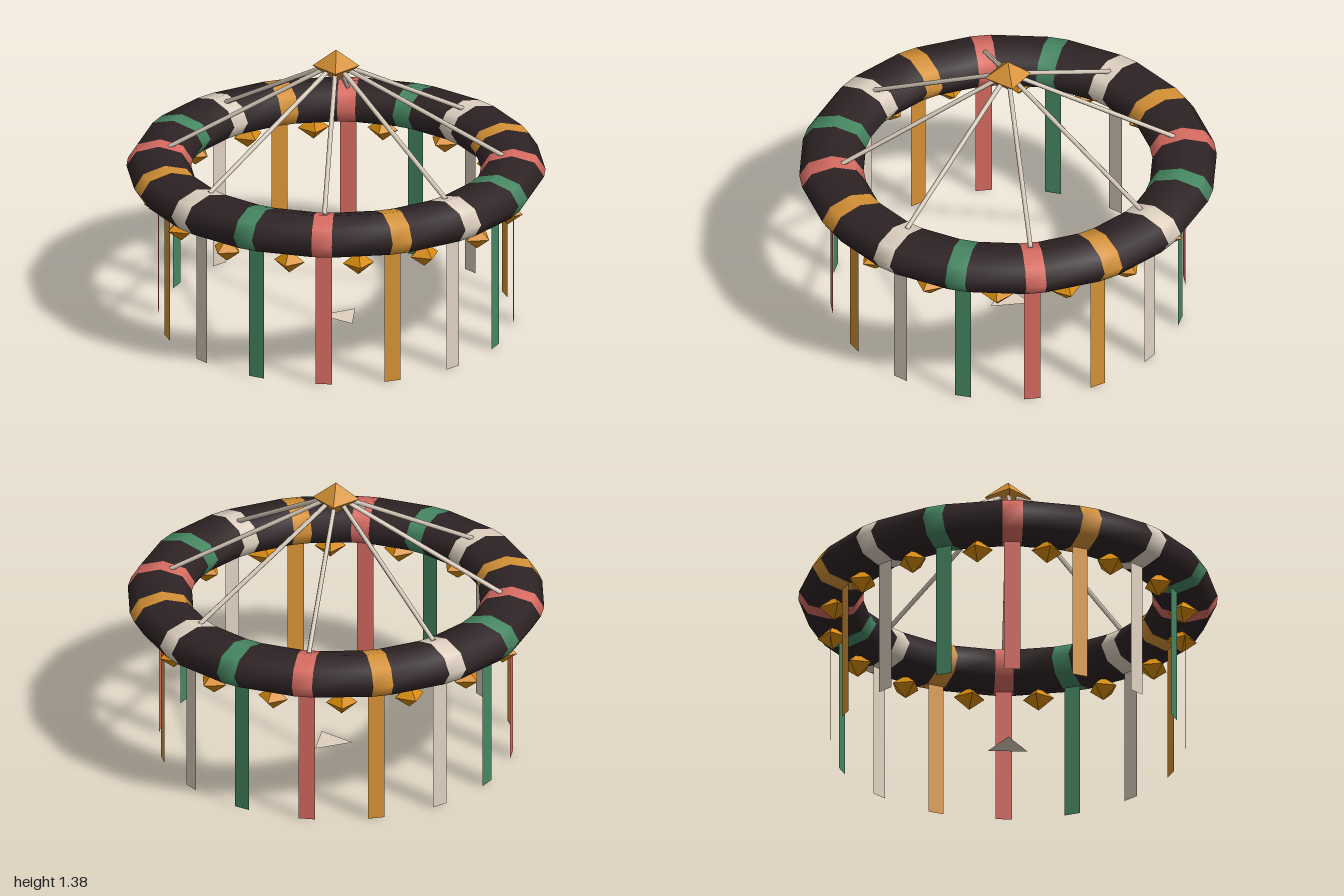
import * as THREE from 'three';

const COUNT = 16;      // ribbons around the ring
const SIDES = 8;       // sides of the ring's oval section
const RADIUS = 0.85;   // radius on which ribbons and lanterns hang

export function createModel() {
  const group = new THREE.Group();
  const mat = (name, color, extra = {}) => {
    const m = new THREE.MeshStandardMaterial({ color, ...extra });
    m.name = name;
    return m;
  };
  const two = { side: THREE.DoubleSide };
  const dark = mat('dark brown', 0x2e2325);
  const cream = mat('cream', 0xdfd1c1, two);
  const bands = [
    mat('coral', 0xd86c62, two),
    mat('ochre', 0xd69236, two),
    cream,
    mat('green', 0x468763, two),
  ];
  const ochreFlat = mat('ochre', 0xd69236, { flatShading: true });
  const amber = mat('amber', 0xd68a0c, { flatShading: true });

  const add = (name, geometry, material) => {
    const mesh = new THREE.Mesh(geometry, material);
    mesh.name = name;
    group.add(mesh);
    return mesh;
  };

  // Ring: two oval sections per ribbon, so narrow coloured bands alternate with dark stretches
  const pos = [], index = [];
  const ringGeo = new THREE.BufferGeometry();
  const sections = COUNT * 2;
  for (let s = 0; s < sections; s++) {
    const a = Math.floor(s / 2) * Math.PI * 2 / COUNT;
    const side = s % 2 ? 1 : -1;
    for (let k = 0; k < SIDES; k++) {
      const p = k * Math.PI * 2 / SIDES;
      const r = 0.845 + 0.155 * Math.cos(p);
      const w = side * (0.046 + 0.003 * Math.cos(p));
      pos.push(
        r * Math.sin(a) + w * Math.cos(a),
        0.77 + 0.1 * Math.sin(p),
        r * Math.cos(a) - w * Math.sin(a));
    }
    const start = index.length, n = (s + 1) % sections;
    for (let k = 0; k < SIDES; k++) {
      const k2 = (k + 1) % SIDES;
      const A = s * SIDES + k, B = n * SIDES + k;
      const C = n * SIDES + k2, D = s * SIDES + k2;
      index.push(A, B, C, A, C, D);
    }
    ringGeo.addGroup(start, index.length - start, s % 2 ? 0 : 1 + (s / 2) % 4);
  }
  ringGeo.setAttribute('position', new THREE.Float32BufferAttribute(pos, 3));
  ringGeo.setIndex(index);
  ringGeo.computeVertexNormals();
  add('ring', ringGeo, [dark, ...bands]);

  // Hanging ribbons below the bands, lanterns below the gaps
  const ribbonGeo = new THREE.PlaneGeometry(0.08, 0.72);
  const lanternGeo = new THREE.OctahedronGeometry(1).scale(0.075, 0.06, 0.075);
  for (let i = 0; i < COUNT; i++) {
    const a = i * Math.PI * 2 / COUNT;
    const ribbon = add('ribbon', ribbonGeo, bands[i % 4]);
    ribbon.position.set(RADIUS * Math.sin(a), 0.36, RADIUS * Math.cos(a));
    ribbon.rotation.y = a;

    const b = a + Math.PI / COUNT;
    const lantern = add('lantern', lanternGeo, amber);
    lantern.position.set(RADIUS * Math.sin(b), 0.627, RADIUS * Math.cos(b));
    lantern.rotation.y = b;
  }

  // Ropes from the ring up to the top knob
  const top = new THREE.Vector3(0, 1.31, 0);
  const up = new THREE.Vector3(0, 1, 0);
  for (let i = 0; i < 8; i++) {
    const a = i * Math.PI / 4;
    const foot = new THREE.Vector3(0.8 * Math.sin(a), 0.855, 0.8 * Math.cos(a));
    const dir = top.clone().sub(foot);
    const rope = add('rope', new THREE.CylinderGeometry(0.012, 0.012, dir.length(), 5), cream);
    rope.position.copy(foot).addScaledVector(dir, 0.5);
    rope.quaternion.setFromUnitVectors(up, dir.normalize());
  }

  // Faceted knob at the top
  const knob = add('topKnob', new THREE.OctahedronGeometry(1).scale(0.112, 0.082, 0.112), ochreFlat);
  knob.position.y = 1.296;
  knob.rotation.y = 0.05;

  // Small flat triangle lying at the centre of the base
  const plate = add('basePlate', new THREE.CircleGeometry(0.11, 3, Math.PI).rotateX(-Math.PI / 2), cream);
  plate.position.set(0.03, 0.002, 0);

  return group;
}
